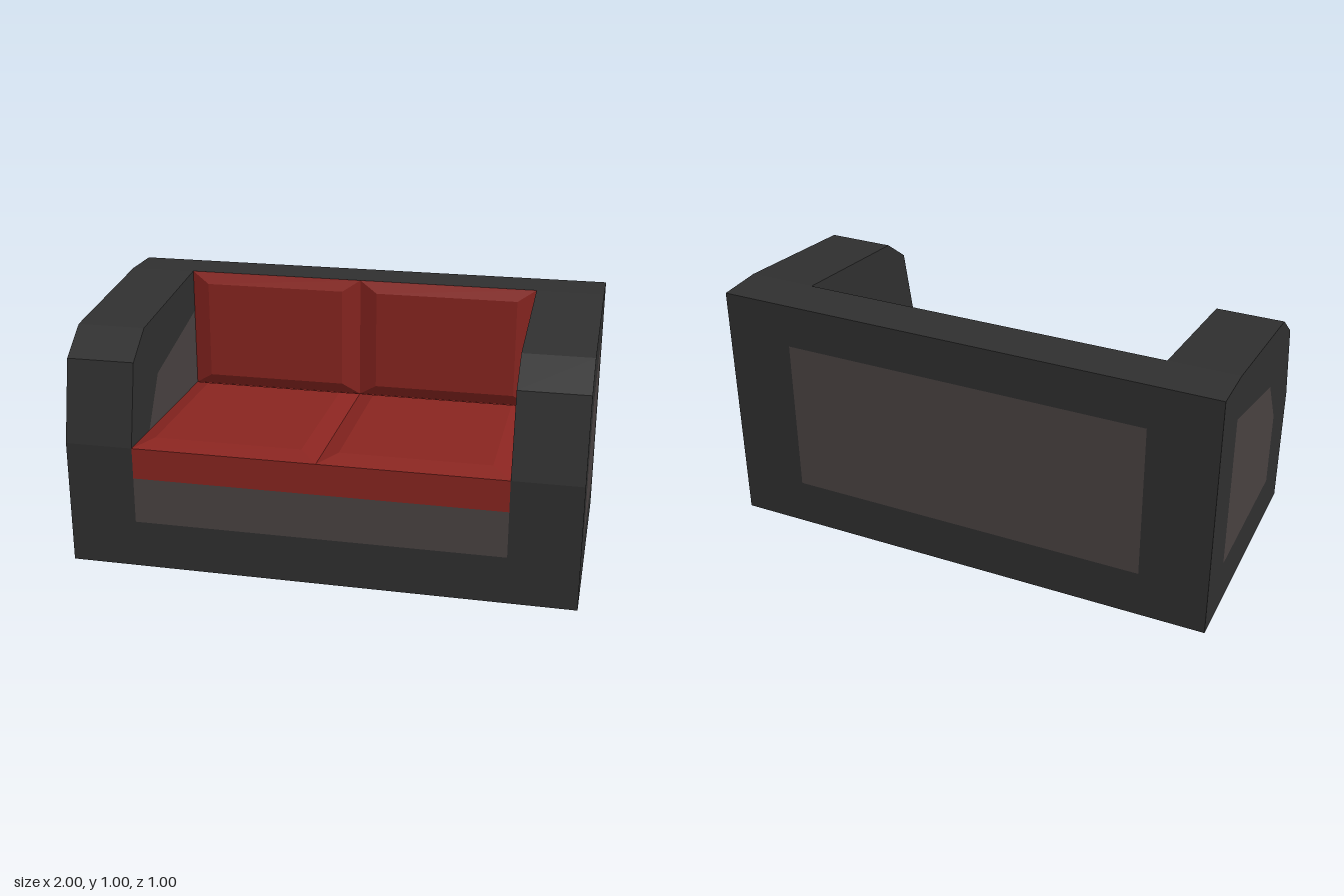
import * as THREE from 'three';

const HALF = 0.73;      // half the width between the arms
const BACK = -0.31;     // front face of the backrest
const SEAT = 0.5;       // seat height
const ARM = 1 - HALF;   // arm thickness

const paint = (color) => new THREE.MeshStandardMaterial({ color, flatShading: true });

export function createModel() {
  const sofa = new THREE.Group();
  sofa.name = 'sofa';
  const dark = paint(0x303030);
  const brown = paint(0x4a4342);
  const red = paint(0x8a2520);

  const add = (name, geometry, material) => {
    const mesh = new THREE.Mesh(geometry, material);
    mesh.name = name;
    sofa.add(mesh);
    return mesh;
  };

  const toShape = (points) => new THREE.Shape(points.map(([x, y]) => new THREE.Vector2(x, y)));

  // Frame with a window, and the flush panel which fills that window
  const frameAndPanel = (outer, inner, depth) => {
    const frame = toShape(outer);
    const panel = toShape(inner);
    frame.holes.push(toShape(inner));
    return [frame, panel].map((s) => new THREE.ExtrudeGeometry(s, { depth, bevelEnabled: false }));
  };

  // Arms: side profiles given as (-z, y), swept across the arm thickness
  const armProfile = [[-0.5, 0], [0.5, 0], [0.5, 1], [-BACK, 1], [-0.3, 0.925], [-0.43, 0.825], [-0.5, 0.5]];
  const armWindow = [[-0.3, 0.19], [-BACK, 0.19], [-BACK, 0.825], [-0.175, 0.7], [-0.3, 0.5]];
  for (const [side, x] of [['left', HALF], ['right', -1]]) {
    const [frame, panel] = frameAndPanel(armProfile, armWindow, ARM);
    for (const g of [frame, panel]) g.rotateY(Math.PI / 2).translate(x, 0, 0);
    add(side + 'Arm', frame, dark);
    add(side + 'ArmPanel', panel, brown);
  }

  // Backrest between the arms; its panel reaches the arms on both sides
  const depth = BACK + 0.5;
  const strip = (name, y0, y1, z0, z1, material) => add(name,
    new THREE.BoxGeometry(2 * HALF, y1 - y0, z1 - z0).translate(0, (y0 + y1) / 2, (z0 + z1) / 2), material);
  strip('backBottomRail', 0, 0.19, -0.5, -0.5 + depth, dark);
  strip('backPanel', 0.19, 0.825, -0.5, -0.5 + depth, brown);
  strip('backTopRail', 0.825, 1, -0.5, -0.5 + depth, dark);

  // Seat base: dark rail with a red underside, brown panel, red band
  strip('frontRail', 0, 0.19, BACK, 0.5, [dark, dark, dark, red, dark, dark]);
  strip('frontPanel', 0.19, 0.375, BACK, 0.5, brown);
  strip('seatBand', 0.375, SEAT, BACK, 0.5, red);

  // Cushion: a low box whose outer face is drawn in to form sloping edges
  const cushion = (w, h, thick, insetX, insetY) => {
    const g = new THREE.BoxGeometry(w, h, thick).translate(0, 0, thick / 2);
    const p = g.attributes.position;
    for (let i = 0; i < p.count; i++) {
      if (p.getZ(i) < thick / 2) continue;
      p.setX(i, p.getX(i) - Math.sign(p.getX(i)) * insetX);
      p.setY(i, p.getY(i) - Math.sign(p.getY(i)) * insetY);
    }
    g.computeVertexNormals();
    return g;
  };

  for (const [side, s] of [['left', 1], ['right', -1]]) {
    const seat = cushion(HALF, 0.5 - BACK, 0.025, 0.073, 0.073).rotateX(-Math.PI / 2);
    add(side + 'SeatCushion', seat.translate(s * HALF / 2, SEAT, (0.5 + BACK) / 2), red);
    const back = cushion(HALF, 1 - SEAT, 0.022, 0.073, 0.047);
    add(side + 'BackCushion', back.translate(s * HALF / 2, (1 + SEAT) / 2, BACK), red);
  }
  return sofa;
}
